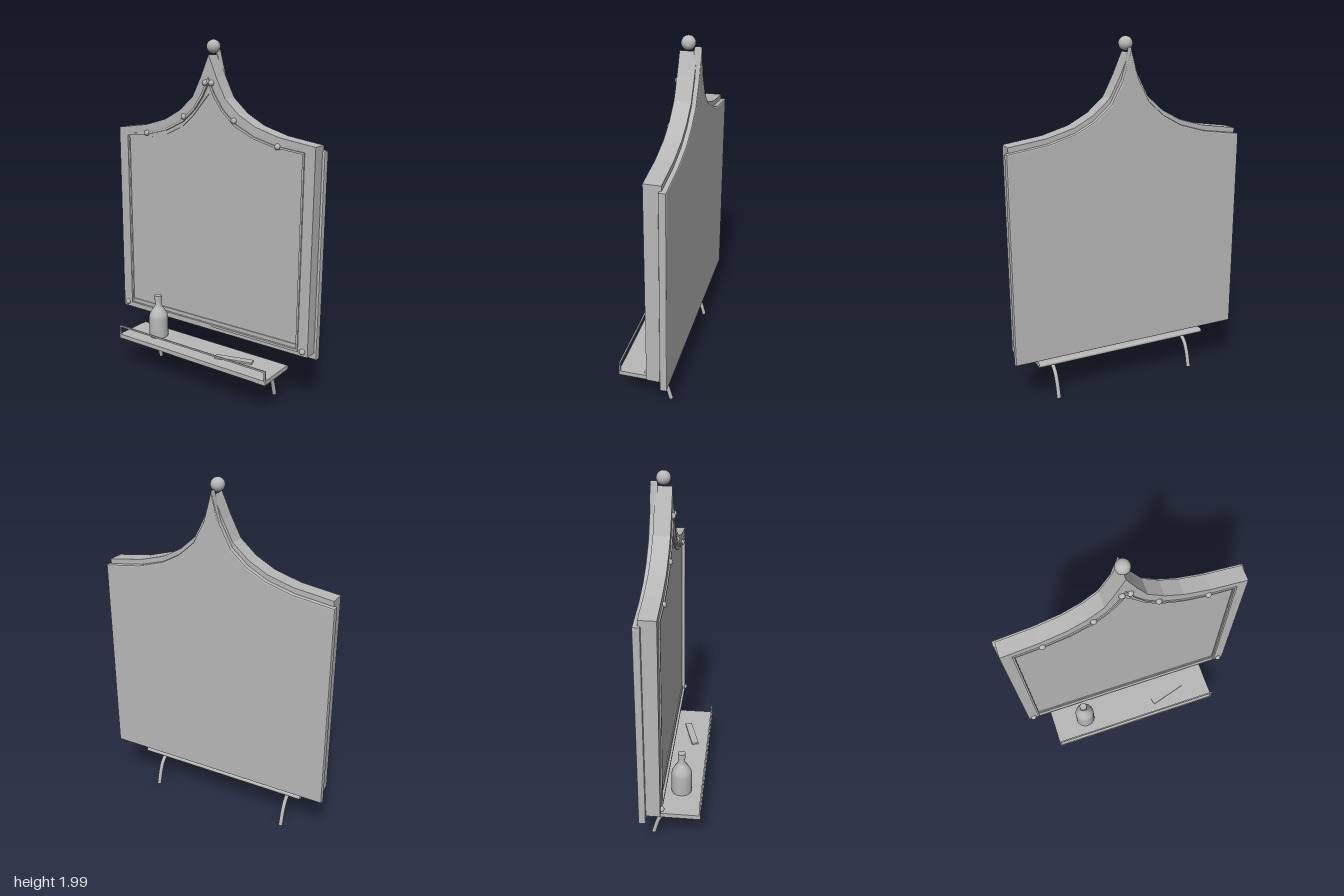
import * as THREE from 'three';

const grey = new THREE.MeshStandardMaterial({ color: 0xb8b8b8 });
grey.name = 'plain grey';

// Right half of each ogee top edge, from the corner to the peak
const FRAME_TOP = [[0.665, 1.48], [0.455, 1.51], [0.307, 1.553], [0.2, 1.611], [0.11, 1.69], [0.053, 1.8], [0, 1.92]];
const BOARD_TOP = [[0.68, 1.45], [0.455, 1.482], [0.307, 1.525], [0.2, 1.583], [0.11, 1.662], [0.045, 1.785], [0, 1.945]];
const RAIL_TOP = [[0.605, 1.447], [0.43, 1.467], [0.3, 1.502], [0.18, 1.562], [0.1, 1.632], [0.045, 1.71], [0, 1.8]];
const RAIL_INNER = [[0.594, 1.438], [0.43, 1.456], [0.295, 1.49], [0.175, 1.548], [0.092, 1.622], [0.04, 1.692], [0, 1.77]];
const GLASS_TOP = [[0.592, 1.42], [0.43, 1.436], [0.3, 1.466], [0.187, 1.52], [0.115, 1.58], [0.055, 1.65], [0, 1.713]];

// Symmetric outline: flat bottom, straight sides, curved top
function outline(top, bottom) {
  const w = top[0][0];
  const left = top.slice(0, -1).reverse().map(([x, y]) => [-x, y]);
  return [[-w, bottom], [w, bottom], ...top, ...left].map(([x, y]) => new THREE.Vector2(x, y));
}

function slab(name, outer, inner, z0, z1, bevel = 0) {
  const shape = new THREE.Shape(outer);
  if (inner) shape.holes.push(new THREE.Path(inner));
  const geo = new THREE.ExtrudeGeometry(shape, {
    depth: z1 - z0 - 2 * bevel, bevelEnabled: bevel > 0, bevelSize: bevel,
    bevelThickness: bevel, bevelOffset: -bevel, bevelSegments: 2,
  });
  geo.translate(0, 0, z0 + bevel);
  return part(name, geo);
}

function part(name, geo, x = 0, y = 0, z = 0) {
  const mesh = new THREE.Mesh(geo, grey);
  mesh.name = name;
  mesh.position.set(x, y, z);
  return mesh;
}

const box = (name, w, h, d, x, y, z) => part(name, new THREE.BoxGeometry(w, h, d), x, y, z);

export function createModel() {
  const model = new THREE.Group();
  model.name = 'wallMirrorWithShelf';

  // Mirror: backing, frame, raised rail, inner border and glass
  const mirror = new THREE.Group();
  mirror.name = 'mirror';
  mirror.add(
    slab('backBoard', outline(BOARD_TOP, 0.29), null, -0.16, -0.12, 0.008),
    slab('frame', outline(FRAME_TOP, 0.33), outline(RAIL_TOP, 0.352), -0.135, -0.044),
    slab('raisedRail', outline(RAIL_TOP, 0.352), outline(RAIL_INNER, 0.365), -0.12, -0.037),
    slab('innerBorder', outline(RAIL_INNER, 0.365), outline(GLASS_TOP, 0.388), -0.12, -0.05),
    slab('glass', outline(GLASS_TOP, 0.388), null, -0.12, -0.056),
    part('finial', new THREE.SphereGeometry(0.038, 24, 16), 0, 1.962, -0.09),
  );

  // Studs around the frame
  const studGeo = new THREE.SphereGeometry(0.017, 16, 10);
  for (const [x, y] of [[0.021, 1.77], [0.17, 1.576], [0.445, 1.462], [0.634, 0.358]]) {
    for (const side of [-1, 1]) mirror.add(part('stud', studGeo, side * x, y, -0.042));
  }
  model.add(mirror);

  // Shelf with a rounded back edge
  const shelf = new THREE.Group();
  shelf.name = 'shelf';
  const backEdge = new THREE.CylinderGeometry(0.0135, 0.0135, 1.05, 16);
  backEdge.rotateZ(Math.PI / 2);
  shelf.add(
    box('shelfBoard', 1.05, 0.026, 0.236, 0, 0.219, 0.042),
    part('shelfBackEdge', backEdge, 0, 0.219, -0.076),
    box('guardRail', 1.05, 0.009, 0.008, 0, 0.284, 0.155),
  );

  // Guard posts and curved brackets
  const bracketCurve = new THREE.CatmullRomCurve3([
    [0.205, 0.12], [0.196, 0.06], [0.184, 0.0], [0.155, -0.055], [0.1, -0.088], [0.01, -0.115],
  ].map(([y, z]) => new THREE.Vector3(0, y, z)));
  const bracketGeo = new THREE.TubeGeometry(bracketCurve, 20, 0.012, 10);
  const capGeo = new THREE.CircleGeometry(0.012, 10);
  capGeo.rotateX(Math.PI / 2 + 0.29);
  for (const side of [-1, 1]) {
    shelf.add(
      box('guardPost', 0.01, 0.06, 0.008, side * 0.52, 0.258, 0.155),
      part('bracket', bracketGeo, side * 0.425, 0, 0),
      part('bracketEnd', capGeo, side * 0.425, 0.01, -0.115),
    );
  }
  model.add(shelf);

  // Bottle with cap
  const bottle = new THREE.Group();
  bottle.name = 'bottle';
  bottle.position.set(-0.316, 0.232, 0.035);
  const profile = [[0, 0], [0.052, 0], [0.058, 0.006], [0.058, 0.125], [0.054, 0.145], [0.042, 0.167],
    [0.026, 0.19], [0.019, 0.205], [0.018, 0.235]].map(([r, y]) => new THREE.Vector2(r, y));
  bottle.add(
    part('bottleBody', new THREE.LatheGeometry(profile, 28)),
    part('bottleCap', new THREE.CylinderGeometry(0.022, 0.022, 0.03, 24), 0, 0.248, 0),
  );
  model.add(bottle);

  // Comb lying on the shelf
  const comb = box('comb', 0.222, 0.01, 0.041, 0.247, 0.237, 0.044);
  comb.rotation.y = 0.28;
  model.add(comb);

  return model;
}
